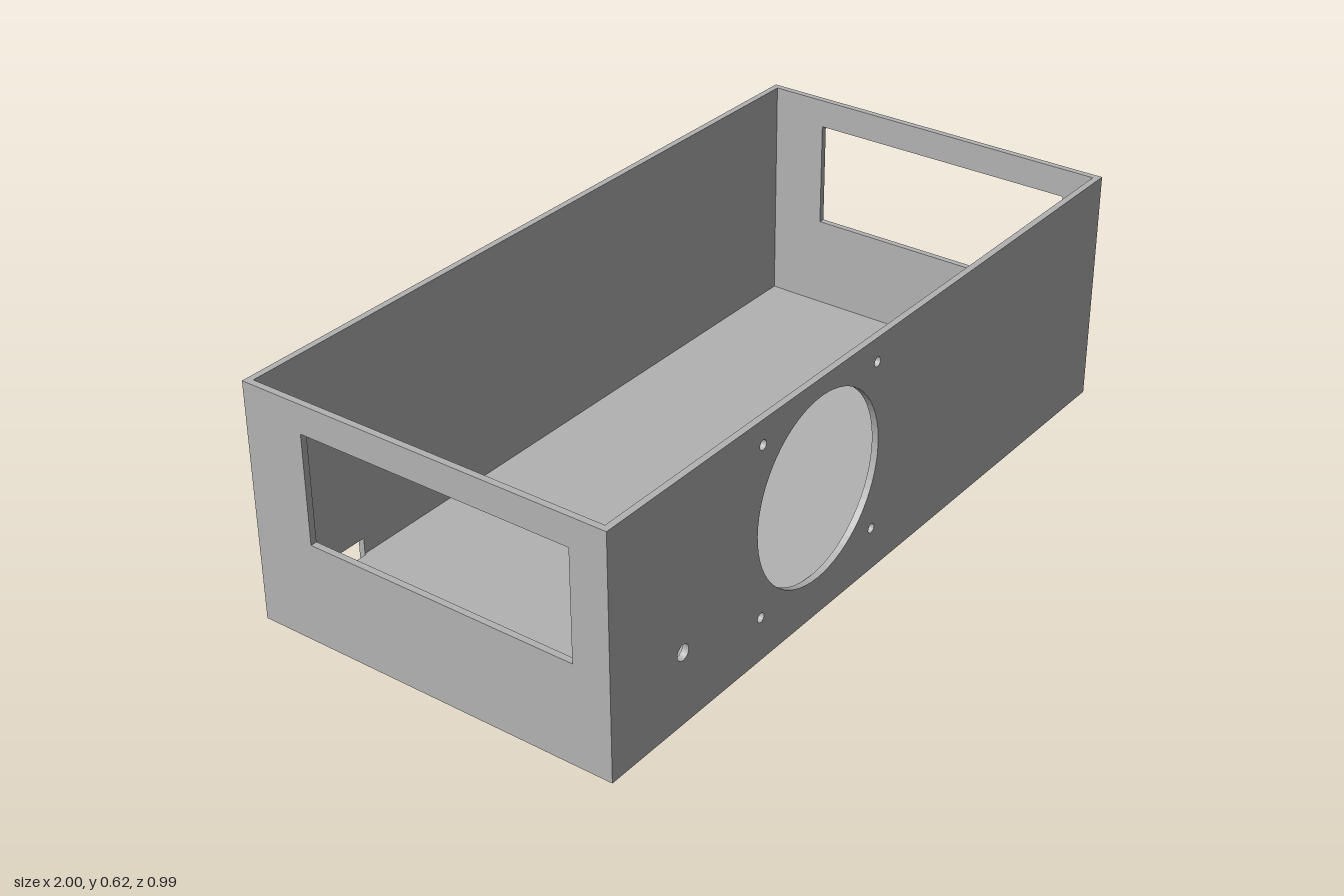
import * as THREE from 'three';

const W = 1, D = 0.497, H = 0.62, T = 0.017; // half width, half depth, height, wall thickness

const rectPoints = (x0, y0, x1, y1) =>
  [[x0, y0], [x1, y0], [x1, y1], [x0, y1]].map(([x, y]) => new THREE.Vector2(x, y));

const rectHole = (...r) => new THREE.Path(rectPoints(...r));
const roundHole = (x, y, r) => new THREE.Path().absarc(x, y, r, 0, Math.PI * 2, true);

// Rectangular outline with an optional notch { x0, x1, h } cut into its lower edge
function outline(x0, y0, x1, y1, notch) {
  const pts = rectPoints(x0, y0, x1, y1);
  if (notch) {
    const { x0: a, x1: b, h } = notch;
    pts.splice(1, 0, ...[[a, y0], [a, y0 + h], [b, y0 + h], [b, y0]].map(p => new THREE.Vector2(...p)));
  }
  return new THREE.Shape(pts);
}

// Sheet with its outer face at z = T; the inner face is pulled in so neighbours meet in a mitre
function panel(shape, halfX, yMin, yMax = Infinity) {
  const g = new THREE.ExtrudeGeometry(shape, { depth: T, bevelEnabled: false, curveSegments: 32 });
  const p = g.attributes.position, near = (a, b) => Math.abs(a - b) < 1e-5;
  for (let i = 0; i < p.count; i++) {
    if (p.getZ(i) > T / 2) continue;
    const x = p.getX(i), y = p.getY(i);
    if (near(Math.abs(x), halfX)) p.setX(i, x - Math.sign(x) * T);
    if (near(y, yMin)) p.setY(i, y + T);
    if (near(y, yMax)) p.setY(i, y - T);
  }
  g.computeVertexNormals();
  return g;
}

export function createModel() {
  const model = new THREE.Group();
  model.name = 'enclosure';
  const grey = new THREE.MeshStandardMaterial({ color: 0xb2b2b2 });
  grey.name = 'grey';

  const add = (name, geometry, x, y, z, rx, ry) => {
    const mesh = new THREE.Mesh(geometry, grey);
    mesh.name = name;
    mesh.position.set(x, y, z);
    mesh.rotation.set(rx, ry, 0);
    model.add(mesh);
  };

  // Front wall: fan opening, four screw holes and a small cable hole
  const fan = { x: -0.25, y: 0.336, r: 0.237, screw: 0.221 };
  const front = outline(-W, 0, W, H);
  front.holes.push(roundHole(fan.x, fan.y, fan.r), roundHole(-0.755, 0.188, 0.02));
  for (const sx of [-1, 1])
    for (const sy of [-1, 1])
      front.holes.push(roundHole(fan.x + sx * fan.screw, fan.y + sy * fan.screw, 0.012));
  add('frontWall', panel(front, W, 0), 0, 0, D - T, 0, 0);

  // Back wall with a port notch at its foot
  const back = outline(-W, 0, W, H, { x0: 0.695, x1: 0.8, h: 0.06 });
  add('backWall', panel(back, W, 0), 0, 0, T - D, 0, Math.PI);

  // End walls with matching windows
  for (const s of [-1, 1]) {
    const end = outline(-D, 0, D, H);
    end.holes.push(s > 0 ? rectHole(-0.4, 0.262, 0.332, 0.545) : rectHole(-0.332, 0.262, 0.4, 0.545));
    add(s > 0 ? 'leftEndWall' : 'rightEndWall', panel(end, D, 0), s * (W - T), 0, 0, 0, s * Math.PI / 2);
  }

  // Floor, cut back slightly at the port
  const floor = outline(-W, -D, W, D, { x0: -0.8, x1: -0.695, h: 0.021 });
  add('floor', panel(floor, W, -D, D), 0, T, 0, Math.PI / 2, 0);

  return model;
}
